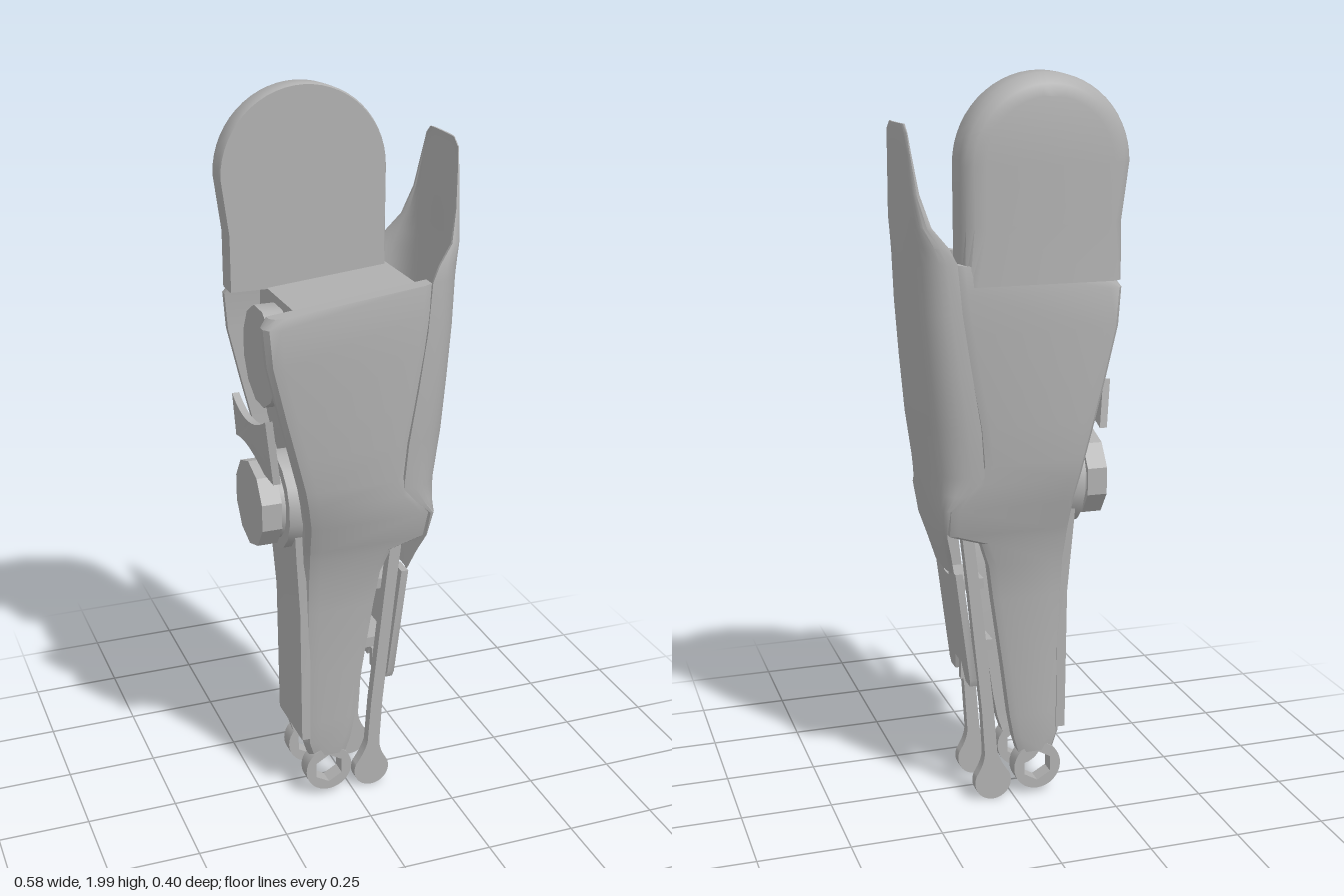
import * as THREE from 'three';
import { toCreasedNormals } from 'three/addons/utils/BufferGeometryUtils.js';

// Closed skin through equal-length rings; the end caps pair opposite ring points.
function loft(rings) {
  const n = rings[0].length, last = (rings.length - 1) * n;
  const pos = rings.flat(2), idx = [];
  for (let r = 0; r < rings.length - 1; r++) {
    for (let i = 0; i < n; i++) {
      const a = r * n + i, b = r * n + (i + 1) % n;
      idx.push(a, b, b + n, a, b + n, a + n);
    }
  }
  for (let i = 0; i < Math.floor(n / 2); i++) {
    const j = n - 1 - i;
    if (i + 1 > j - 1 + 1) continue;
    idx.push(0 + i, j, i + 1, last + i, last + i + 1, last + j);
    if (j - 1 > i + 1) idx.push(i + 1, j, j - 1, last + i + 1, last + j - 1, last + j);
  }
  // Turn the skin outward if its enclosed volume is negative
  const p = (k) => new THREE.Vector3().fromArray(pos, k * 3);
  let volume = 0;
  for (let k = 0; k < idx.length; k += 3) volume += p(idx[k]).dot(p(idx[k + 1]).cross(p(idx[k + 2])));
  if (volume < 0) idx.reverse();
  const g = new THREE.BufferGeometry();
  g.setAttribute('position', new THREE.Float32BufferAttribute(pos, 3));
  g.setIndex(idx);
  return g;
}

function shapeOf(points) {
  return new THREE.Shape(points.map(([x, y]) => new THREE.Vector2(x, y)));
}

function extrude(shape, depth, curveSegments = 16) {
  return new THREE.ExtrudeGeometry(shape, { depth, bevelEnabled: false, curveSegments });
}

// Rectangular block whose rows are [y, left, right, half depth, slope of y]
function block(rows) {
  return loft(rows.map(([y, l, r, h, k = 0]) => [
    [l, y + k * l, h], [r, y + k * r, h], [r, y + k * r, -h], [l, y + k * l, -h],
  ]));
}

export function createModel() {
  const model = new THREE.Group();
  model.name = 'lowerLeg';
  const grey = new THREE.MeshStandardMaterial({ color: 0xb0b0b0 });
  grey.name = 'grey';
  const add = (name, geometry, x = 0, y = 0, z = 0) => {
    const mesh = new THREE.Mesh(toCreasedNormals(geometry, 0.6), grey);
    mesh.name = name;
    mesh.position.set(x, y, z);
    model.add(mesh);
    return mesh;
  };

  // Side plates, running from the knee to the ankle: [y, left, right, outer z, slope]
  const plateRows = [
    [0.135, -0.123, -0.017, 0.1], [0.18, -0.137, -0.003, 0.103], [0.25, -0.137, 0.01, 0.104],
    [0.4, -0.14, 0.03, 0.106], [0.6, -0.142, 0.06, 0.112], [0.7, -0.143, 0.075, 0.122],
    [0.77, -0.145, 0.1, 0.137], [0.8, -0.147, 0.19, 0.145], [0.88, -0.152, 0.193, 0.172],
    [0.95, -0.165, 0.13, 0.19], [1.0, -0.175, 0.108, 0.197], [1.1, -0.2, 0.117, 0.2],
    [1.2, -0.225, 0.135, 0.2], [1.35, -0.26, 0.16, 0.2], [1.45, -0.268, 0.174, 0.198],
    [1.505, -0.25, 0.18, 0.192, 0.12],
  ];
  const plate = (side) => loft(plateRows.map(([y, l, r, h, k = 0]) => [
    [l, h - 0.045], [l, h - 0.025], [l + 0.012, h - 0.008], [l + 0.04, h],
    [r - 0.02, h], [r, h - 0.008], [r, h - 0.045],
  ].map(([x, z]) => [x, y + k * x, z * side])));

  // Ankle eye with a hexagonal hole
  const ankle = new THREE.Shape().absarc(-0.07, 0.09, 0.068, 0, Math.PI * 2);
  const hole = [];
  for (let i = 0; i < 6; i++) {
    const a = -i * Math.PI / 3 + Math.PI / 6;
    hole.push(new THREE.Vector2(-0.07 + 0.044 * Math.cos(a), 0.09 + 0.044 * Math.sin(a)));
  }
  ankle.holes.push(new THREE.Path(hole));

  // Link rod with a drop-shaped foot
  const rod = new THREE.Shape();
  rod.moveTo(0.115, 0.8);
  rod.lineTo(0.098, 0.65);
  rod.lineTo(0.058, 0.28);
  rod.lineTo(0.048, 0.15);
  rod.quadraticCurveTo(0.04, 0.12, 0.015, 0.085);
  rod.absarc(0.06, 0.06, 0.052, Math.PI * 0.85, Math.PI * 2.15, false);
  rod.quadraticCurveTo(0.083, 0.12, 0.084, 0.15);
  rod.lineTo(0.092, 0.28);
  rod.lineTo(0.13, 0.65);
  rod.lineTo(0.147, 0.8);

  for (const side of [1, -1]) {
    const label = side > 0 ? 'front' : 'back';
    add(label + 'SidePlate', plate(side));
    add(label + 'AnkleEye', extrude(ankle, 0.045), 0, 0, side > 0 ? 0.055 : -0.1);
    add(label + 'LinkRod', extrude(rod, 0.03), 0, 0, side > 0 ? 0.07 : -0.1);
  }

  // Core between the plates
  add('core', block([
    [0.77, -0.1, 0.08, 0.1], [0.95, -0.12, 0.1, 0.15], [1.1, -0.155, 0.11, 0.165],
    [1.25, -0.17, 0.14, 0.165], [1.49, -0.17, 0.17, 0.165, 0.1],
  ]));

  // Knee disc: flat towards the front, rounded towards the back
  const kneeRing = (z, inset) => {
    const ring = [[0.165 - inset * 0.6, 1.47, z], [0.165 - inset, 1.62, z]];
    for (let i = 0; i <= 28; i++) {
      const a = i / 28 * Math.PI, r = 0.229 - inset;
      ring.push([-0.063 + r * Math.cos(a), 1.77 + r * Math.sin(a), z]);
    }
    ring.push([-0.272 + inset, 1.62, z], [-0.27 + inset * 0.6, 1.47, z]);
    return ring;
  };
  add('kneeDisc', loft([[-0.092, 0.004], [-0.1, 0], [-0.16, 0.003], [-0.18, 0.012],
    [-0.193, 0.03], [-0.2, 0.06]].map(([z, inset]) => kneeRing(z, inset))));

  // Curved shin shell: [y, side edge x, outer x, half depth]
  const shinRows = [
    [0.68, 0.165, 0.178, 0.085], [0.74, 0.18, 0.195, 0.11], [0.8, 0.198, 0.212, 0.14],
    [0.88, 0.197, 0.225, 0.172], [0.92, 0.155, 0.232, 0.183], [0.97, 0.11, 0.24, 0.191],
    [1.1, 0.12, 0.258, 0.197], [1.25, 0.145, 0.27, 0.198], [1.4, 0.168, 0.28, 0.196],
    [1.53, 0.18, 0.285, 0.193], [1.57, 0.2, 0.287, 0.187], [1.62, 0.24, 0.288, 0.17],
    [1.7, 0.262, 0.288, 0.14], [1.8, 0.275, 0.289, 0.115], [1.85, 0.28, 0.29, 0.1],
    [1.87, 0.28, 0.288, 0.075],
  ];
  add('shinShell', loft(shinRows.map(([y, edge, out, h]) => {
    const arc = (o, w) => Array.from({ length: 21 }, (_, i) => {
      const a = (i / 20 - 0.5) * Math.PI, s = Math.sin(a);
      return [edge + (o - edge) * Math.pow(Math.max(Math.cos(a), 0), 0.75), y,
        w * Math.sign(s) * Math.pow(Math.abs(s), 0.8)];
    });
    const t = Math.min(0.012, (out - edge) * 0.7);
    return [...arc(out, h), ...arc(out - t, h - 0.008).reverse()];
  })));

  // Drive hubs on the calf side
  const hub = (name, radius, from, to, y, sides) => {
    const g = new THREE.CylinderGeometry(radius, radius, to - from, sides);
    g.rotateY(Math.PI / sides).rotateZ(Math.PI / 2);
    add(name, g, (from + to) / 2, y, 0.0);
  };
  hub('upperHub', 0.135, -0.225, -0.15, 1.32, 12);
  hub('lowerHubCap', 0.12, -0.26, -0.205, 0.91, 10);
  hub('lowerHubNeck', 0.105, -0.21, -0.185, 0.91, 16);
  hub('lowerHubBase', 0.135, -0.19, -0.11, 0.91, 16);

  // Calf guard between the hubs, leaning inward at the bottom
  const guard = new THREE.Shape();
  guard.moveTo(-0.12, 1.06);
  guard.quadraticCurveTo(0.0, 1.1, 0.1, 1.03);
  guard.lineTo(0.175, 1.03);
  guard.lineTo(0.185, 1.21);
  guard.quadraticCurveTo(0.03, 1.12, -0.1, 1.19);
  const guardGeo = extrude(guard, 0.02).rotateY(-Math.PI / 2);
  const gp = guardGeo.attributes.position;
  for (let i = 0; i < gp.count; i++) gp.setX(i, gp.getX(i) - 0.25 + Math.max(0, 1.12 - gp.getY(i)) * 0.25);
  guardGeo.computeVertexNormals();
  add('calfGuard', guardGeo);

  // Flat calf plate closing the lower channel
  add('calfPlate', block([
    [0.2, -0.15, -0.125, 0.1], [0.6, -0.153, -0.125, 0.102], [0.77, -0.165, -0.13, 0.11],
    [0.85, -0.17, -0.13, 0.115],
  ]));

  // Lower shin panel, notched at both ends and sloping back to the ankle
  const half = [[0.02, 0.655], [0.04, 0.68], [0.1, 0.68], [0.1, 0.37], [0.092, 0.35],
    [0.05, 0.35], [0.03, 0.4]];
  const panel = shapeOf([...half, ...half.map(([z, y]) => [-z, y]).reverse()]);
  const panelGeo = extrude(panel, 0.02).rotateY(-Math.PI / 2);
  const pp = panelGeo.attributes.position;
  for (let i = 0; i < pp.count; i++) pp.setX(i, pp.getX(i) + 0.165 + (pp.getY(i) - 0.68) * 0.125);
  panelGeo.computeVertexNormals();
  add('lowerShinPanel', panelGeo);

  // Brackets and pin carrying the panel
  for (const [x, y] of [[0.115, 0.635], [0.09, 0.455]]) {
    add('panelBracket', new THREE.BoxGeometry(0.08, 0.03, 0.13), x, y, 0);
  }
  add('panelPin', new THREE.BoxGeometry(0.03, 0.06, 0.02), 0.11, 0.37, 0);

  return model;
}
